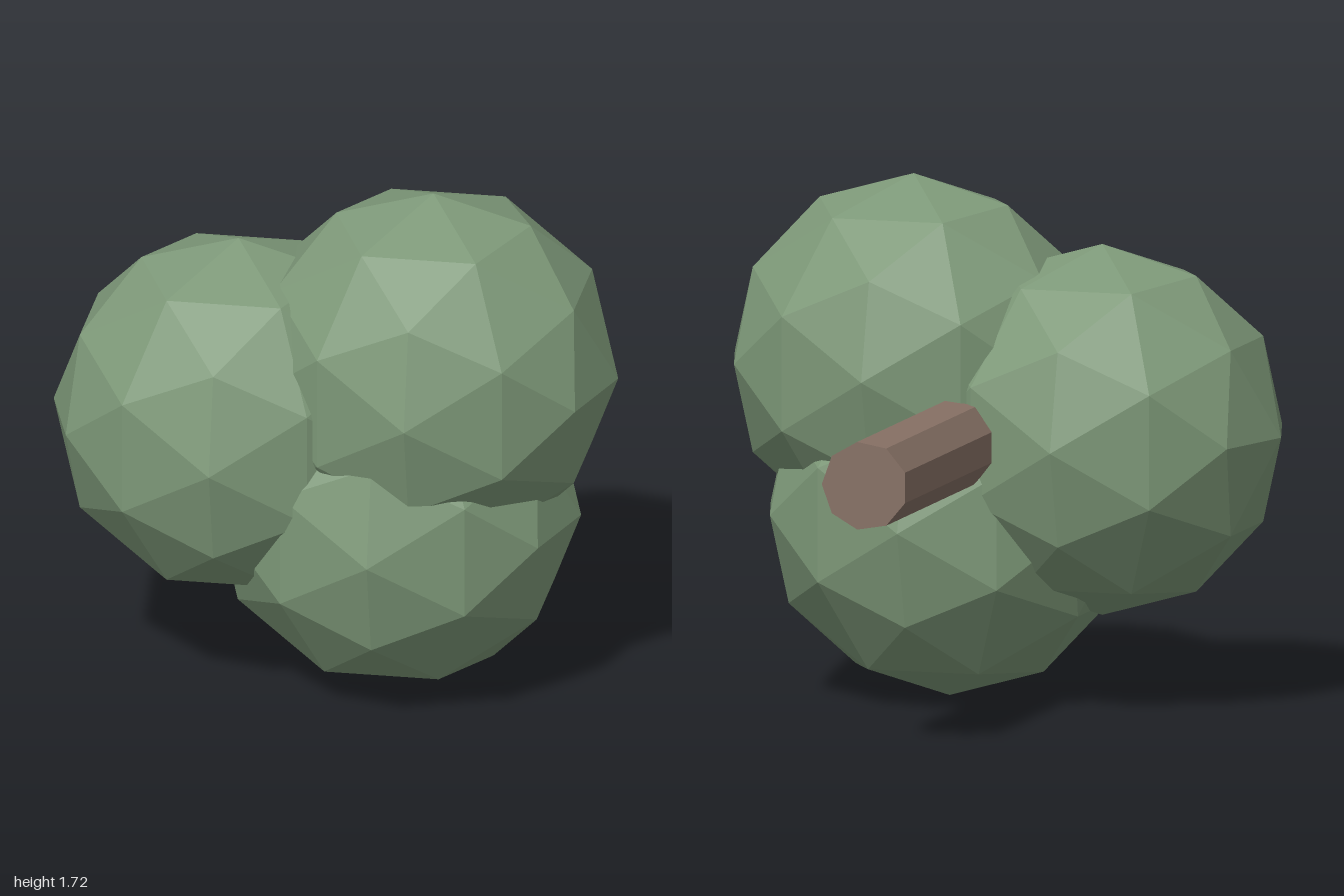
import * as THREE from 'three';

export function createModel() {
  const group = new THREE.Group();
  const leafGreen = new THREE.MeshStandardMaterial({ color: 0x7d9878, flatShading: true });
  leafGreen.name = 'leafGreen';
  const barkBrown = new THREE.MeshStandardMaterial({ color: 0x877165, flatShading: true });
  barkBrown.name = 'barkBrown';

  // Three equal faceted foliage balls, slightly flattened along the trunk
  const ball = new THREE.IcosahedronGeometry(1, 1);
  const foliage = [
    ['foliageRight', -0.323, 0.9],
    ['foliageTop', 0.323, 1.105],
    ['foliageBottom', 0.2, 0.612],
  ];
  for (const [name, x, y] of foliage) {
    const mesh = new THREE.Mesh(ball, leafGreen);
    mesh.name = name;
    mesh.position.set(x, y, 0.43);
    mesh.scale.set(0.612, 0.612, 0.57);
    group.add(mesh);
  }

  // Nine-sided trunk lying along z, its inner end buried in the foliage
  const length = 1.3;
  const trunkGeometry = new THREE.CylinderGeometry(0.147, 0.147, length, 9);
  trunkGeometry.rotateX(Math.PI / 2).rotateZ(Math.PI / 2);
  const trunk = new THREE.Mesh(trunkGeometry, barkBrown);
  trunk.name = 'trunk';
  trunk.position.set(0.039, 0.9, -1 + length / 2);
  group.add(trunk);

  return group;
}
